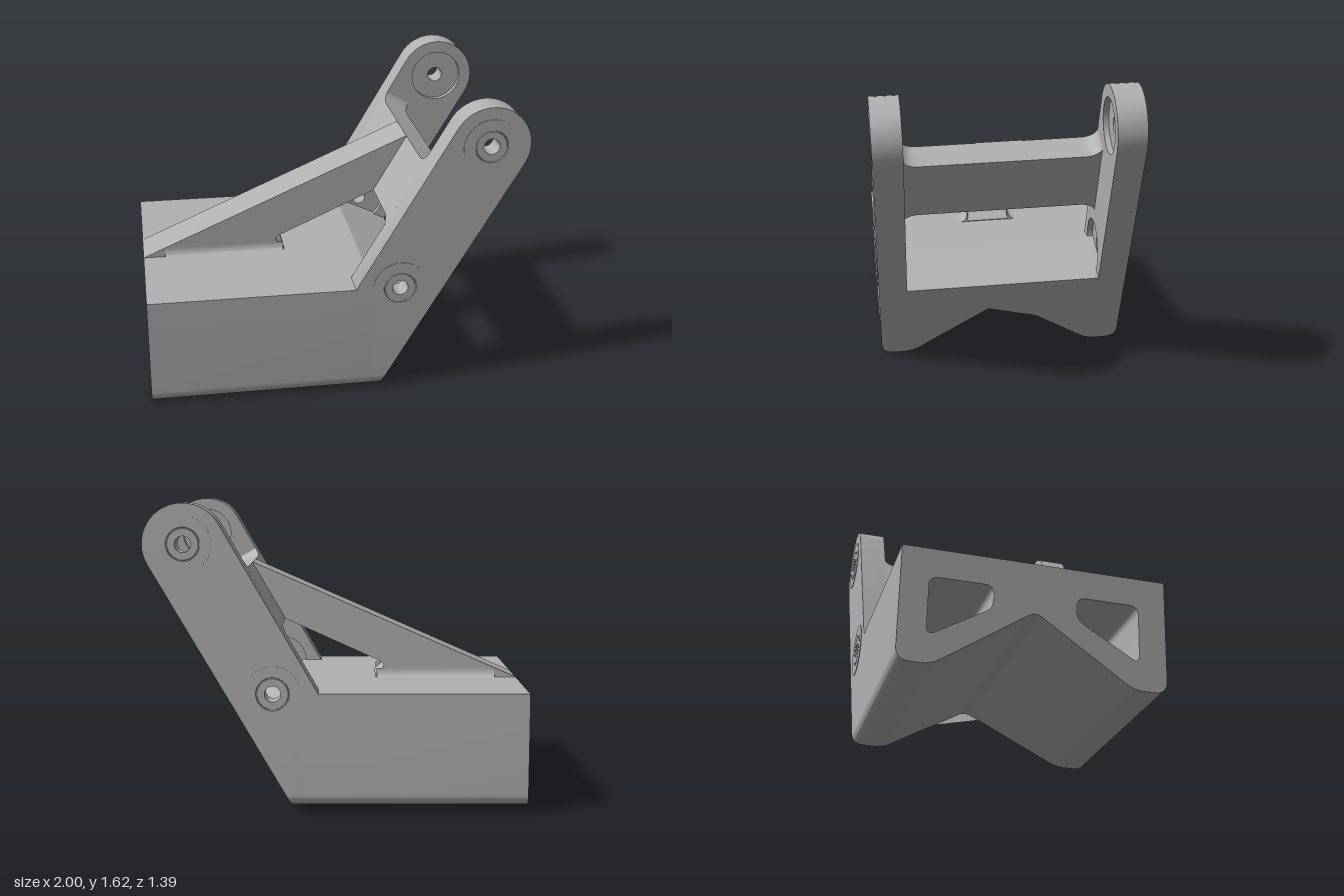
import * as THREE from 'three';
import { toCreasedNormals } from 'three/addons/utils/BufferGeometryUtils.js';

const W = 0.67;          // half width over the arms
const ARM = 0.15;        // arm plate thickness
const RIB = 0.12;        // half width of the rib
const TOP = 0.6;         // deck height
const LEDGE = 0.2;       // where the deck starts to drop between the arms
const SLANT = Math.PI / 3;
const PIVOTS = [[0.337, 0.6], [0.79, 1.375]];

const metal = new THREE.MeshStandardMaterial({ color: 0xb0b0b0 });
metal.name = 'grey metal';

function add(parent, name, geometry) {
  const mesh = new THREE.Mesh(toCreasedNormals(geometry, 0.6), metal);
  mesh.name = name;
  parent.add(mesh);
  return mesh;
}

// Closed shape with rounded corners; each point is [x, y, radius]
function rounded(points, Type = THREE.Shape) {
  const path = new Type();
  const n = points.length;
  points.forEach(([x, y, r = 0], i) => {
    const p = new THREE.Vector2(x, y);
    const toward = ([qx, qy]) => new THREE.Vector2(qx, qy).sub(p).setLength(r).add(p);
    const a = r ? toward(points[(i + n - 1) % n]) : p;
    const b = r ? toward(points[(i + 1) % n]) : p;
    if (i === 0) path.moveTo(a.x, a.y); else path.lineTo(a.x, a.y);
    if (r) path.quadraticCurveTo(x, y, b.x, b.y);
  });
  path.closePath();
  return path;
}

function extrude(shape, depth) {
  return new THREE.ExtrudeGeometry(shape, { depth, bevelEnabled: false, curveSegments: 12 });
}

// Cross-section (z, y) swept along x between two stations
function sweepX(shape, x0, x1) {
  return extrude(shape, x1 - x0).rotateY(Math.PI / 2).translate(x0, 0, 0);
}

// Plate in the x-y plane centred on z
function plate(shape, thickness, z = 0) {
  return extrude(shape, thickness).translate(0, 0, z - thickness / 2);
}

// V-notched body section standing on two rounded feet
function bodySection() {
  return rounded([
    [-W, TOP], [-W, 0, 0.07], [-0.5, 0, 0.05], [0, 0.34, 0.04],
    [0.5, 0, 0.05], [W, 0, 0.07], [W, TOP],
  ]);
}

function buildBody(parent) {
  const section = bodySection();
  for (const s of [-1, 1]) {
    section.holes.push(rounded([
      [s * 0.53, 0.45, 0.05], [s * 0.53, 0.14, 0.05],
      [s * 0.21, 0.33, 0.05], [s * 0.21, 0.45, 0.05],
    ], THREE.Path));
  }
  add(parent, 'body', sweepX(section, -1, LEDGE));

  // Nose: the far end follows the slanted plane, the top drops to a ledge
  const nose = sweepX(bodySection(), LEDGE, 1);
  const pos = nose.attributes.position;
  for (let i = 0; i < pos.count; i++) {
    if (pos.getX(i) < 0.9) continue;
    const y = Math.min(pos.getY(i), 0.46);
    pos.setXYZ(i, 0.235 + y / Math.tan(SLANT), y, pos.getZ(i));
  }
  add(parent, 'bodyNose', nose);
}

function armShape() {
  const [x, y] = PIVOTS[1];
  const shape = new THREE.Shape();
  shape.moveTo(0.1, 0.3);
  shape.lineTo(0.408, 0.3);
  shape.absarc(x, y, 0.21, SLANT - Math.PI / 2, SLANT + Math.PI / 2, false);
  shape.lineTo(0.1, TOP);
  shape.closePath();
  for (const [px, py] of PIVOTS) {
    const hole = new THREE.Path();
    hole.absarc(px, py, 0.145, 0, Math.PI * 2, true);
    shape.holes.push(hole);
  }
  return shape;
}

// Bored bushing, almost flush outside and recessed inside the arm
function bushing() {
  const h = ARM / 2, out = h + 0.003, inner = -h + 0.03;
  const profile = [
    [0.146, inner], [0.146, out], [0.088, out], [0.086, out - 0.005],
    [0.082, out - 0.005], [0.08, out], [0.042, out], [0.042, inner], [0.146, inner],
  ].map(([r, y]) => new THREE.Vector2(r, y));
  return new THREE.LatheGeometry(profile, 40);
}

function buildArms(parent) {
  for (const s of [-1, 1]) {
    const arm = new THREE.Group();
    arm.name = s > 0 ? 'frontArm' : 'backArm';
    parent.add(arm);
    const z = s * (W - ARM / 2);
    add(arm, 'armPlate', plate(armShape(), ARM, z));
    for (const [x, y] of PIVOTS) {
      add(arm, 'bushing', bushing().rotateX(s * Math.PI / 2).translate(x, y, z));
    }
  }
}

// Web between the arms, lying in the slanted plane, with filleted corners
function buildWeb(parent) {
  const e = W - ARM + 0.01, r = 0.1, top = 0.745, low = 0.385;
  const web = new THREE.Shape();
  web.moveTo(-e, low - r);
  web.quadraticCurveTo(-e, low, -e + r, low);
  web.lineTo(e - r, low);
  web.quadraticCurveTo(e, low, e, low - r);
  web.lineTo(e, top + r);
  web.quadraticCurveTo(e, top, e - r, top);
  web.lineTo(-e + r, top);
  web.quadraticCurveTo(-e, top, -e, top + r);
  web.closePath();
  const c = Math.cos(SLANT), s = Math.sin(SLANT);
  const frame = new THREE.Matrix4().makeBasis(
    new THREE.Vector3(0, 0, -1), new THREE.Vector3(c, s, 0), new THREE.Vector3(s, -c, 0),
  ).setPosition(0.1, TOP, 0);
  add(parent, 'crossWeb', extrude(web, 0.15).applyMatrix4(frame));
}

function buildRib(parent) {
  // Sloping rib from the deck up to the web, open underneath near the arms
  const rib = rounded([
    [-1, TOP], [-0.2, TOP, 0.03], [-0.28, 0.672, 0.05], [0.3, 0.935],
    [0.38, 0.94], [0.52, 1.19], [0.47, 1.247],
  ]);
  add(parent, 'rib', plate(rib, RIB * 2));

  // Concave fillets along both sides of the rib foot
  for (const s of [-1, 1]) {
    const f = 0.05, fillet = new THREE.Shape();
    fillet.moveTo(s * (RIB - 0.005), TOP - 0.005);
    fillet.lineTo(s * (RIB + f), TOP - 0.005);
    fillet.lineTo(s * (RIB + f), TOP);
    fillet.quadraticCurveTo(s * RIB, TOP, s * RIB, TOP + f);
    fillet.lineTo(s * (RIB - 0.005), TOP + f);
    fillet.closePath();
    add(parent, 'ribFillet', sweepX(fillet, -0.88, -0.22));
  }
}

export function createModel() {
  const model = new THREE.Group();
  model.name = 'bracket';
  const tilted = new THREE.Group();
  tilted.name = 'tiltedBracket';
  model.add(tilted);
  buildBody(tilted);
  buildArms(tilted);
  buildWeb(tilted);
  buildRib(tilted);

  // The whole part leans slightly toward the front
  tilted.rotation.x = 0.031;
  tilted.position.set(0, 0.018, -0.022);
  return model;
}
